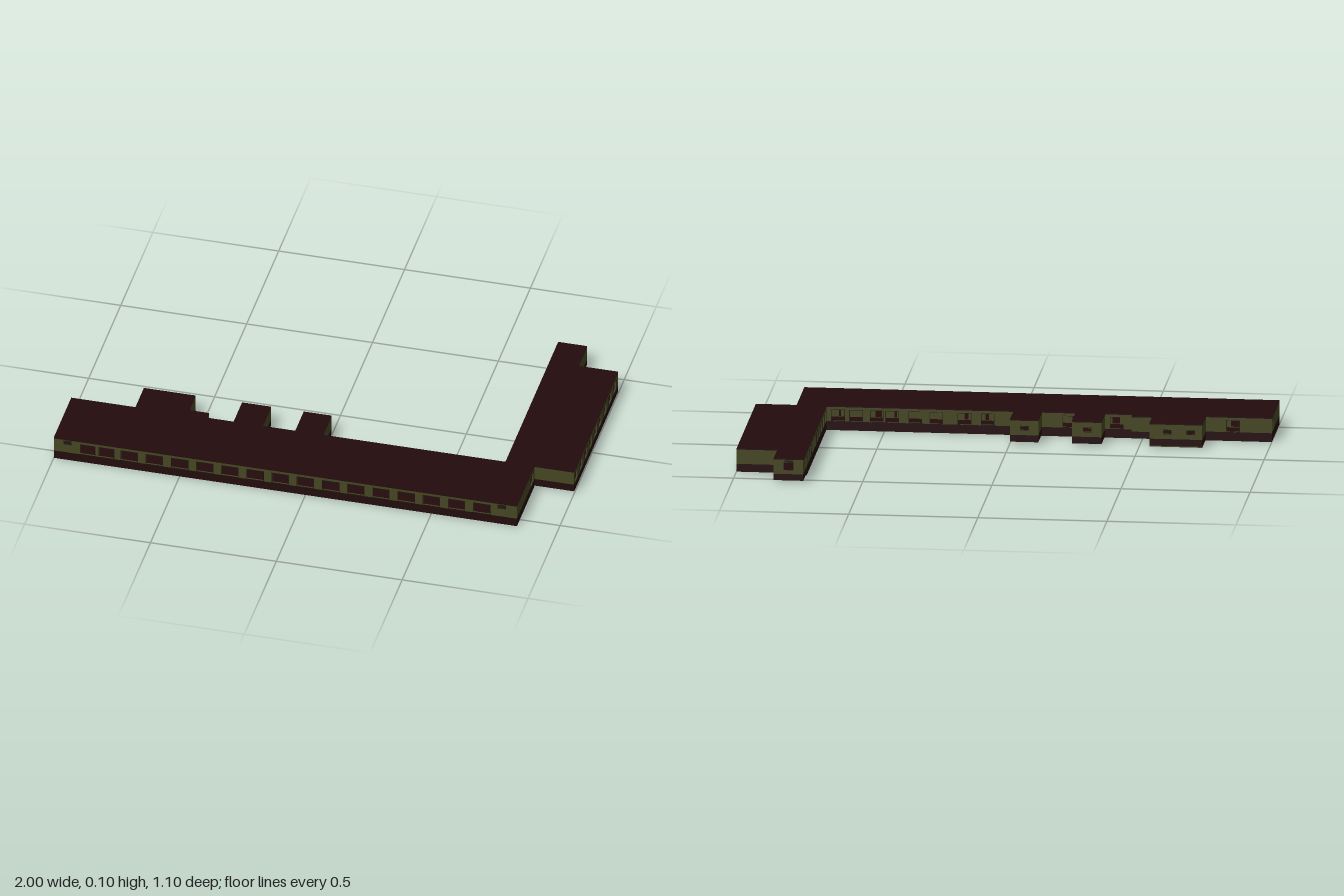
import * as THREE from 'three';

const olive = new THREE.MeshStandardMaterial({ name: 'olive wall', color: 0x454522 });
const brown = new THREE.MeshStandardMaterial({ name: 'dark brown', color: 0x230b0d });
const trim = new THREE.MeshStandardMaterial({ name: 'blackish trim', color: 0x1c1c10 });

const FLOOR = 0.035, TOP = 0.092, T = 0.006;

function rect(x0, y0, x1, y1, Type = THREE.Shape) {
  const s = new Type();
  s.moveTo(x0, y0);
  s.lineTo(x1, y0);
  s.lineTo(x1, y1);
  s.lineTo(x0, y1);
  s.closePath();
  return s;
}

export function createModel() {
  const model = new THREE.Group();
  model.name = 'lowBuilding';

  function add(name, geometry, material) {
    const mesh = new THREE.Mesh(geometry, material);
    mesh.name = name;
    model.add(mesh);
    return mesh;
  }

  function block(name, x0, x1, y0, y1, z0, z1, material) {
    const mesh = add(name, new THREE.BoxGeometry(x1 - x0, y1 - y0, z1 - z0), material);
    mesh.position.set((x0 + x1) / 2, (y0 + y1) / 2, (z0 + z1) / 2);
  }

  // Upright panel along the x or z axis, centred on its plane
  function panel(name, axis, at, shape, depth, material) {
    const g = new THREE.ExtrudeGeometry(shape, { depth, bevelEnabled: false });
    g.translate(0, 0, -depth / 2);
    if (axis === 'z') g.rotateY(-Math.PI / 2);
    const mesh = add(name, g, material);
    mesh.position[axis === 'x' ? 'z' : 'x'] = at;
  }

  // Wall with openings [centre, width, bottom, top]; out is the outward sign
  function wall(name, axis, at, a, b, out, holes = [], framed = true) {
    const s = rect(a, FLOOR, b, TOP);
    for (const [c, w, y0 = 0.037, y1 = 0.081] of holes) {
      s.holes.push(rect(c - w / 2, y0, c + w / 2, y1, THREE.Path));
      if (!framed) continue;
      const f = 0.0013;
      const frame = rect(c - w / 2 - f, y0 - f, c + w / 2 + f, y1 + f);
      frame.holes.push(rect(c - w / 2, y0, c + w / 2, y1, THREE.Path));
      panel(name + 'WindowFrame', axis, at + out * 0.0005, frame, 0.002, trim);
    }
    panel(name, axis, at - out * T / 2, s, T, olive);
  }

  const row = (start, step, count, w) => Array.from({ length: count }, (_, i) => [start + step * i, w]);

  // Flat roof over the whole outline
  const outline = [
    [-1, 0.545], [0.84, 0.545], [0.84, 0.272], [0.998, 0.272], [0.998, -0.415], [0.84, -0.415],
    [0.84, -0.55], [0.725, -0.55], [0.725, 0.272], [0, 0.272], [0, 0.14], [-0.11, 0.14],
    [-0.11, 0.272], [-0.24, 0.272], [-0.24, 0.14], [-0.355, 0.14], [-0.355, 0.272], [-0.46, 0.272],
    [-0.46, 0.24], [-0.54, 0.24], [-0.54, 0.14], [-0.745, 0.14], [-0.745, 0.272], [-1, 0.272],
  ].map(([x, z]) => new THREE.Vector2(x, z));
  const roof = new THREE.ExtrudeGeometry(new THREE.Shape(outline), { depth: 0.004, bevelEnabled: false });
  roof.rotateX(Math.PI / 2);
  add('roof', roof, brown).position.y = TOP + 0.004;

  // Foundations
  block('mainBase', -1, 0.84, 0, FLOOR, 0.272, 0.545, brown);
  block('wingBase', 0.725, 0.84, 0, FLOOR, -0.43, 0.272, brown);
  block('wingEndBase', 0.725, 0.84, 0.01, FLOOR, -0.55, -0.43, brown);
  block('outerWingBase', 0.84, 0.998, 0.004, FLOOR, -0.415, 0.272, brown);

  // Long front wall and its sills
  const frontWindows = [[-0.865, 0.06], ...row(-0.8, 0.1, 16, 0.066).slice(1)];
  frontWindows.splice(1, 0, [-0.79, 0.06]);
  wall('frontWall', 'x', 0.545, -1, 0.84, 1, frontWindows);
  for (const [c, w] of frontWindows)
    block('frontSill', c - w / 2, c + w / 2, 0.034, 0.0365, 0.545, 0.549, brown);
  for (const x of [-0.945, 0.78])
    block('frontVent', x - 0.016, x + 0.016, 0.074, 0.09, 0.545, 0.549, trim);

  // Back wall, corridor wall and room partitions of the main block
  const backWindows = [-0.85, -0.7, -0.61, -0.4, -0.215, 0.1, 0.19, 0.3, 0.38, 0.47, 0.53, 0.61, 0.68]
    .map((x) => [x, 0.05]);
  wall('backWall', 'x', 0.272, -1, 0.725, -1, backWindows);
  const doors = [
    [-0.85, 0.033], [-0.7, 0.015], [-0.61, 0.01], [-0.39, 0.03], [-0.225, 0.01],
    [0.11, 0.015], [0.19, 0.015], [0.465, 0.01], [0.53, 0.025], [0.68, 0.008],
  ].map(([x, w]) => [x, w, 0.036, 0.071]);
  wall('corridorWall', 'x', 0.352, -1, 0.84, 1, doors, false);
  for (let x = -0.75; x < 0.7; x += 0.2) wall('roomPartition', 'z', x, 0.35, 0.542, 1);

  // End walls, open at the corridor
  const passage = [[0.312, 0.058, 0.036, 0.08]];
  wall('leftEndWall', 'z', 0.84, 0.272, 0.545, 1, passage);
  wall('rightEndWall', 'z', -1, 0.272, 0.545, -1, passage);

  // Wing walls
  const wingWindows = row(0.24, -0.075, 9, 0.046);
  wall('wingOuterWall', 'z', 0.998, -0.415, 0.272, 1, wingWindows);
  wall('wingInnerWall', 'z', 0.725, -0.55, 0.272, -1, [...wingWindows, [-0.46, 0.046]]);
  const wingDoors = [[0.093, 0.016], [0.02, 0.007], [0, 0.006], [-0.275, 0.008], [-0.345, 0.014]]
    .map(([z, w]) => [z, w, 0.036, 0.071]);
  wall('wingCorridorWall', 'z', 0.84, -0.55, 0.272, 1, wingDoors, false);
  wall('wingFrontWall', 'x', 0.272, 0.84, 0.998, 1);
  wall('wingBackWall', 'x', -0.415, 0.84, 0.998, -1);
  wall('wingEndWall', 'x', -0.55, 0.725, 0.84, -1, [[0.782, 0.035, 0.05, 0.08]]);
  block('wingEndVent', 0.765, 0.798, 0.083, 0.09, -0.553, -0.55, trim);

  // Small annexes along the back
  const annexes = [
    [-0.745, -0.54, 0.14, [[-0.7, 0.03, 0.055, 0.071], [-0.61, 0.03, 0.055, 0.071]]],
    [-0.54, -0.46, 0.24, []],
    [-0.355, -0.24, 0.14, [[-0.3, 0.03, 0.055, 0.071]]],
    [-0.11, 0, 0.14, [[-0.055, 0.03, 0.055, 0.071]]],
  ];
  annexes.forEach(([x0, x1, z0, windows], i) => {
    block('annexBase', x0, x1, 0.008, FLOOR, z0, 0.272, brown);
    if (i === 0) block('annexUnderside', x0, x1, 0.004, 0.008, z0, 0.272, olive);
    wall('annexBackWall', 'x', z0, x0, x1, -1, windows);
    wall('annexLeftWall', 'z', x1, z0, 0.272, 1);
    wall('annexRightWall', 'z', x0, z0, 0.272, -1);
  });

  return model;
}
